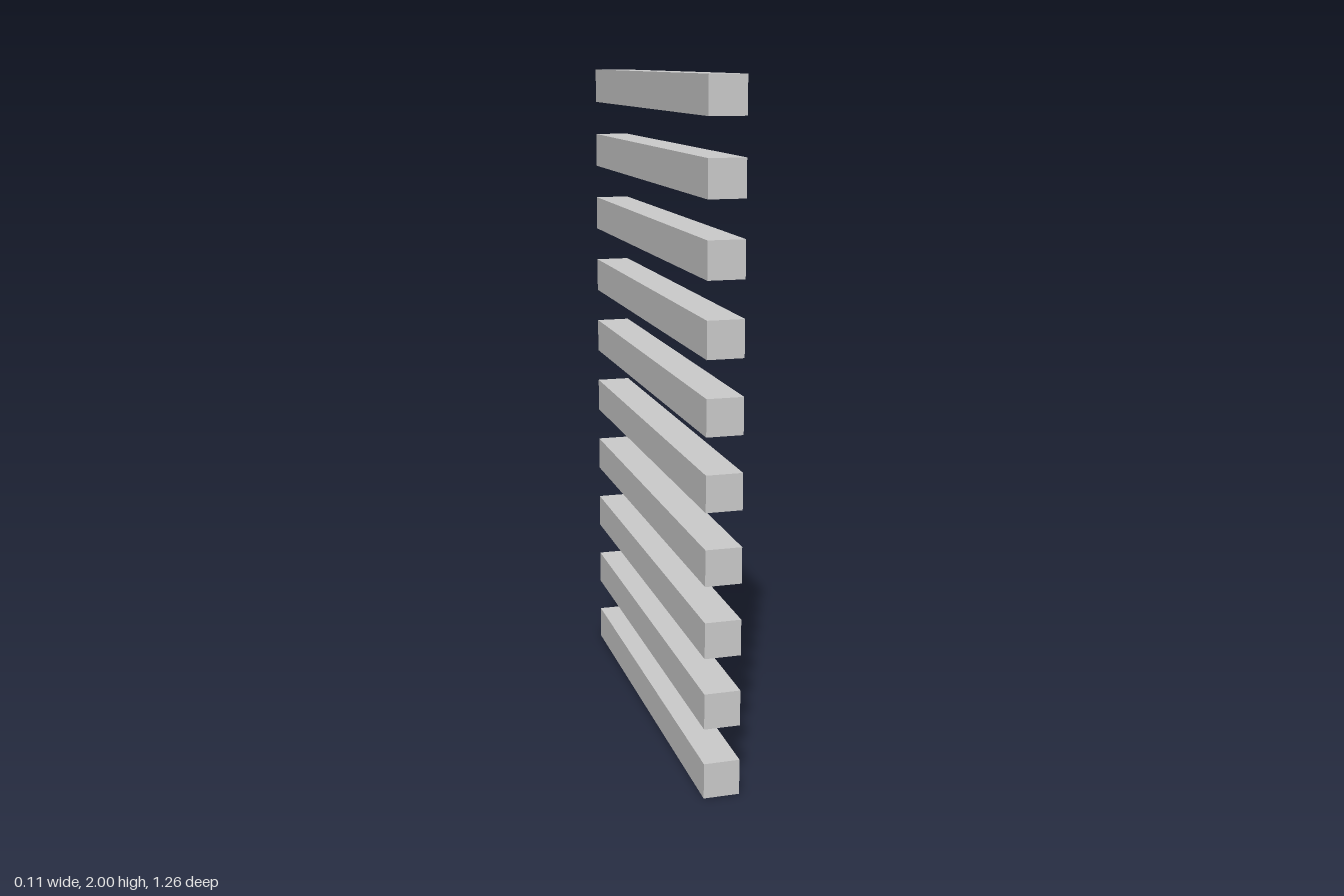
import * as THREE from 'three';

const COUNT = 10;
const SIZE = 2 / (2 * COUNT - 1); // bar thickness, equal to the gap between bars
const LENGTH = SIZE * 12;

export function createModel() {
  const model = new THREE.Group();
  model.name = 'slatStack';
  const material = new THREE.MeshStandardMaterial({ color: 0xcccccc });
  const geometry = new THREE.BoxGeometry(SIZE, SIZE, LENGTH);

  // Evenly spaced horizontal bars running front to back
  for (let i = 0; i < COUNT; i++) {
    const slat = new THREE.Mesh(geometry, material);
    slat.name = `slat${i + 1}`;
    slat.position.y = SIZE * (0.5 + 2 * i);
    model.add(slat);
  }
  return model;
}
